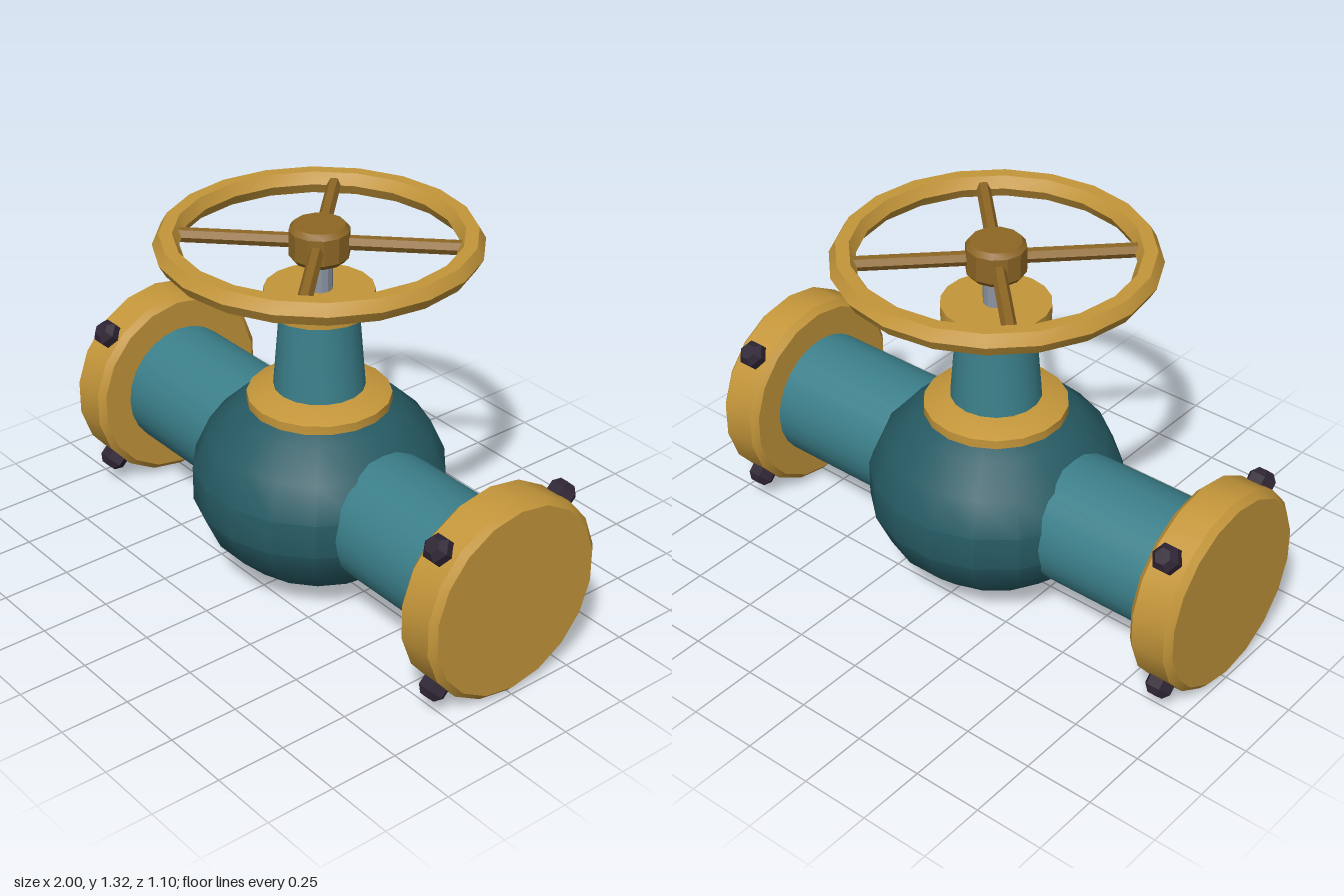
import * as THREE from 'three';
import { toCreasedNormals } from 'three/addons/utils/BufferGeometryUtils.js';

const material = (name, color) => {
  const m = new THREE.MeshStandardMaterial({ color });
  m.name = name;
  return m;
};

export function createModel() {
  const brass = material('brass', 0xc4963a);
  const darkBrass = material('dark brass', 0x8e6725);
  const teal = material('teal', 0x3b7f8a);
  const darkTeal = material('dark teal', 0x265a63);
  const steel = material('steel', 0x8d95a2);
  const iron = material('dark iron', 0x2e2434);

  const model = new THREE.Group();
  model.name = 'gateValve';
  const axisY = 0.37;

  const add = (name, geometry, mat, parent = model) => {
    const mesh = new THREE.Mesh(toCreasedNormals(geometry, 0.5), mat);
    mesh.name = name;
    parent.add(mesh);
    return mesh;
  };
  // Solid of revolution from [radius, height] pairs, listed bottom to top
  const turned = (profile, sides) =>
    new THREE.LatheGeometry(profile.map(([r, y]) => new THREE.Vector2(r, y)), sides);

  // Bulbous body
  const body = add('body', new THREE.SphereGeometry(0.45, 18, 9).scale(1, 0.811, 1), darkTeal);
  body.position.y = axisY;

  // Straight pipe running through the body
  const pipe = add('pipe', new THREE.CylinderGeometry(0.23, 0.23, 1.7, 24).rotateZ(Math.PI / 2), teal);
  pipe.position.y = axisY;

  // Chamfered end flanges, each with four bolts standing out of the rim
  for (const side of [1, -1]) {
    const end = new THREE.Group();
    end.name = side > 0 ? 'leftEnd' : 'rightEnd';
    end.position.set(side * 0.9165, axisY, 0);
    model.add(end);

    const flange = turned([[0, -0.0835], [0.338, -0.0835], [0.361, -0.062],
      [0.361, 0.062], [0.338, 0.0835], [0, 0.0835]], 18);
    add('flange', flange.rotateY(Math.PI / 2).rotateZ(Math.PI / 2), brass, end);

    for (let i = 0; i < 4; i++) {
      const bolt = turned([[0, 0.33], [0.05, 0.33], [0.05, 0.388], [0.029, 0.411], [0, 0.411]], 6);
      bolt.rotateY(Math.PI / 2).rotateX(Math.PI / 4 + i * Math.PI / 2);
      add('bolt', bolt, iron, end).position.x = -side * 0.005;
    }
  }

  // Bonnet: base ring, tapered neck and top collar
  add('bonnetBase', turned([[0, 0.67], [0.25, 0.67], [0.25, 0.702], [0.165, 0.733], [0, 0.733]], 18), brass);
  add('neck', turned([[0.16, 0.71], [0.134, 1.03]], 18), teal);
  add('collar', turned([[0, 1.015], [0.135, 1.015], [0.188, 1.032], [0.188, 1.095], [0, 1.095]], 18), brass);

  // Stem
  const stem = add('stem', new THREE.CylinderGeometry(0.045, 0.045, 0.16, 12), steel);
  stem.position.y = 1.15;

  // Handwheel: hexagonal-section rim, hub and two crossed spokes
  const wheel = new THREE.Group();
  wheel.name = 'handwheel';
  wheel.position.y = 1.265;
  model.add(wheel);
  add('rim', new THREE.TorusGeometry(0.505, 0.045, 6, 20).rotateX(Math.PI / 2), brass, wheel);
  add('hub', turned([[0, -0.063], [0.088, -0.063], [0.103, -0.045], [0.103, 0.045],
    [0.088, 0.063], [0, 0.063]], 12), darkBrass, wheel);
  for (const turn of [1, -1]) {
    const spoke = new THREE.CylinderGeometry(0.025, 0.025, 0.95, 6).rotateZ(Math.PI / 2);
    add('spoke', spoke.rotateY(turn * Math.PI / 4), darkBrass, wheel);
  }

  return model;
}
